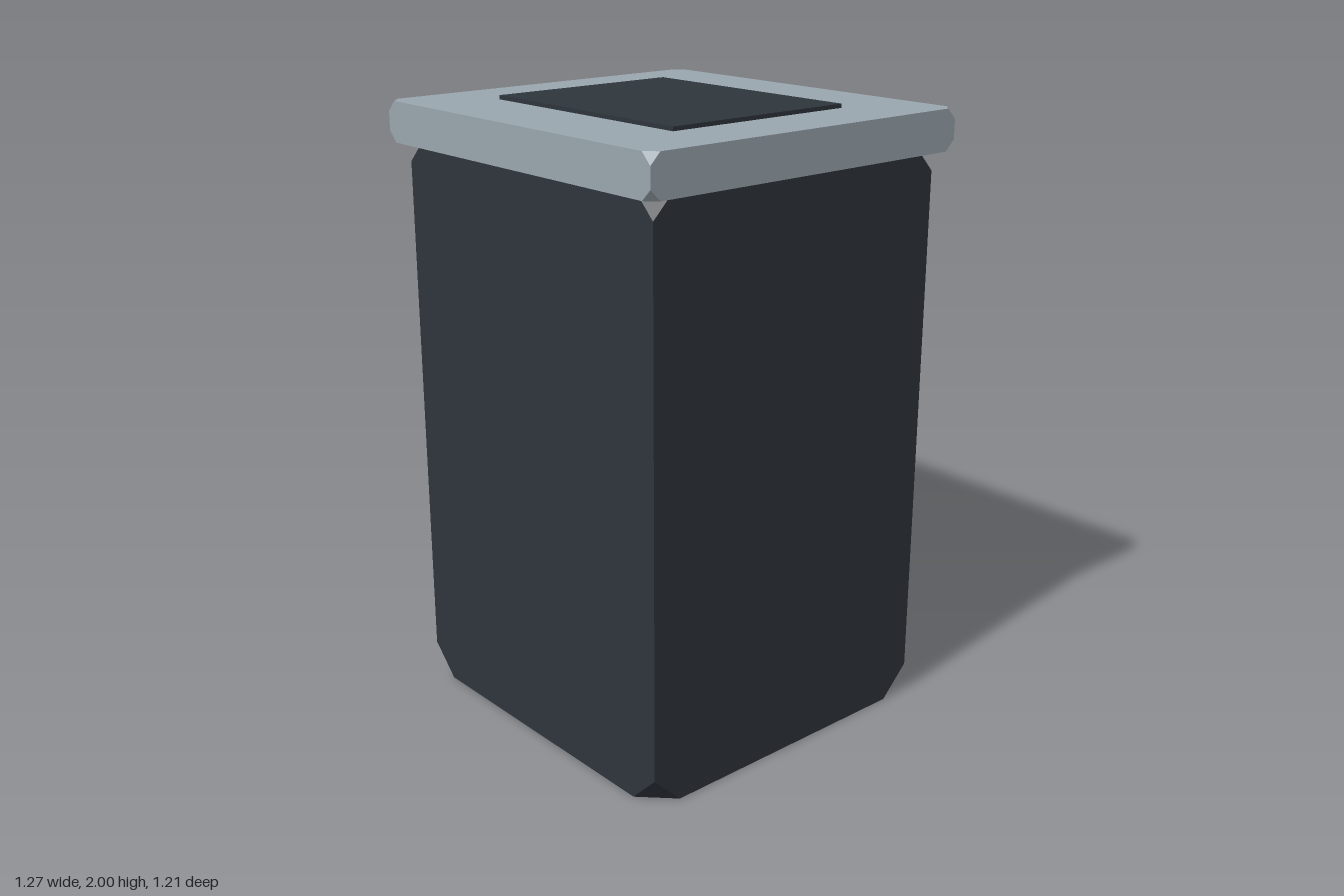
import * as THREE from 'three';
import { ConvexGeometry } from 'three/addons/geometries/ConvexGeometry.js';

const dark = new THREE.MeshStandardMaterial({ color: 0x2e353c });
dark.name = 'dark slate';
const grey = new THREE.MeshStandardMaterial({ color: 0x9aa6ae });
grey.name = 'pale grey';

// Box with each of its eight corners cut off by a flat triangle
function cutCornerBox(w, h, d, cut) {
  const points = [];
  for (const sx of [-1, 1]) for (const sy of [-1, 1]) for (const sz of [-1, 1]) {
    const corner = new THREE.Vector3(sx * w / 2, sy * h / 2, sz * d / 2);
    points.push(
      corner.clone().add(new THREE.Vector3(-sx * cut, 0, 0)),
      corner.clone().add(new THREE.Vector3(0, -sy * cut, 0)),
      corner.clone().add(new THREE.Vector3(0, 0, -sz * cut)),
    );
  }
  return new ConvexGeometry(points);
}

export function createModel() {
  const group = new THREE.Group();
  group.name = 'bin';

  function add(name, geometry, material, bottom, height) {
    const mesh = new THREE.Mesh(geometry, material);
    mesh.name = name;
    mesh.position.y = bottom + height / 2;
    group.add(mesh);
  }

  // Tall body, its top tucked into the lid
  add('body', cutCornerBox(1.18, 1.895, 1.12, 0.1), dark, 0, 1.895);
  // Overhanging lid
  add('lid', cutCornerBox(1.266, 0.13, 1.21, 0.034), grey, 1.857, 0.13);
  // Raised plate on the lid
  add('lidPlate', new THREE.BoxGeometry(0.826, 0.03, 0.674), dark, 1.97, 0.03);

  return group;
}
